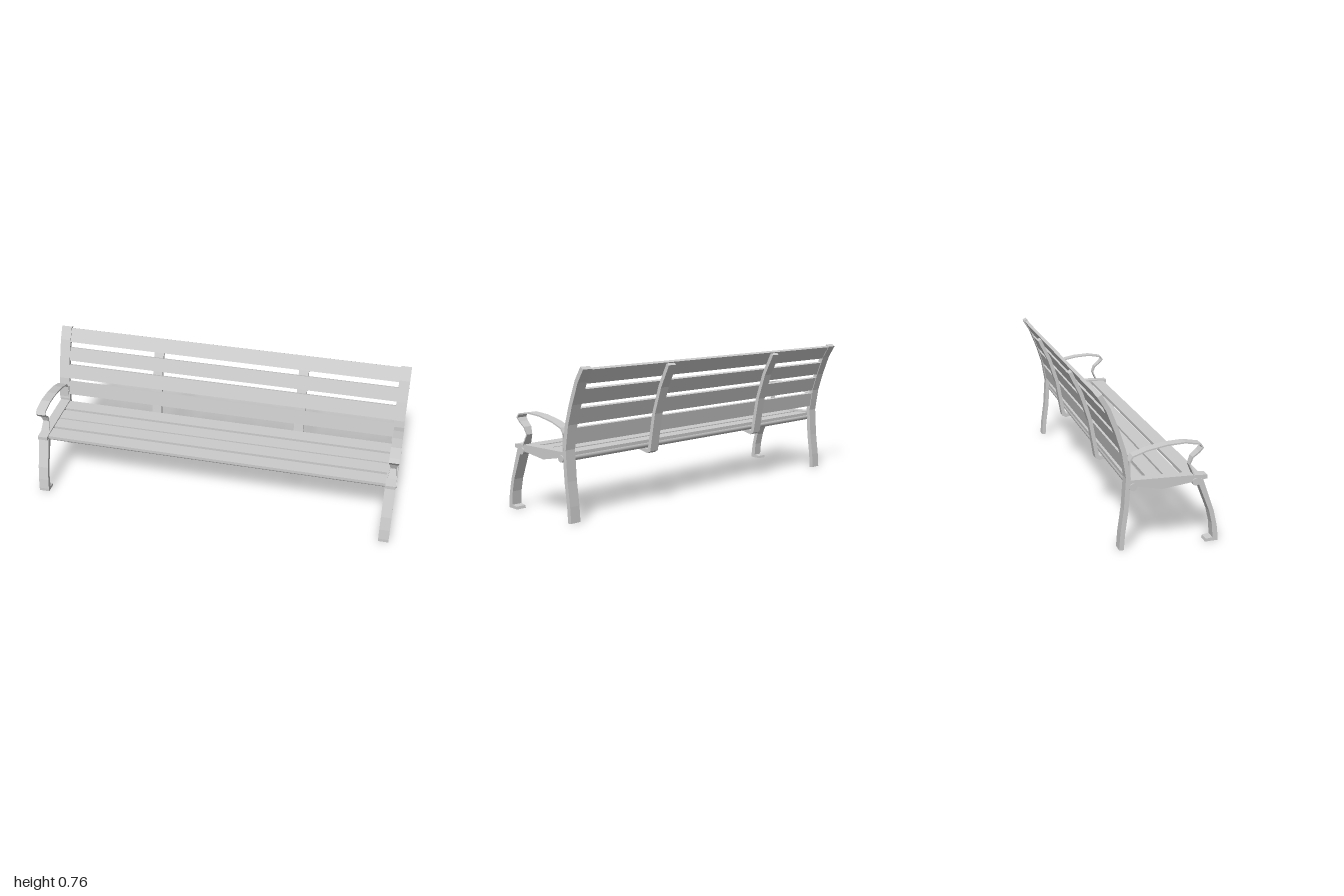
import * as THREE from 'three';

const material = new THREE.MeshStandardMaterial({ color: 0xcccccc });

// Extrude a [z, y] outline along x, centred on cx
function sidePanel(name, outline, cx, width) {
  const shape = new THREE.Shape(outline.map(([z, y]) => new THREE.Vector2(z, y)));
  const geometry = new THREE.ExtrudeGeometry(shape, { depth: width, bevelEnabled: false });
  geometry.rotateY(-Math.PI / 2).translate(cx + width / 2, 0, 0);
  const mesh = new THREE.Mesh(geometry, material);
  mesh.name = name;
  return mesh;
}

// Outline of a bar of even thickness following a [z, y] centreline
function barOutline(path, thickness) {
  const left = [], right = [];
  path.forEach(([z, y], i) => {
    const direction = (a, b) => new THREE.Vector2(b[0] - a[0], b[1] - a[1]).normalize();
    const before = direction(path[Math.max(i - 1, 0)], path[Math.max(i, 1)]);
    const after = i < path.length - 1 ? direction(path[i], path[i + 1]) : before;
    const mean = before.clone().add(after).normalize();
    const h = thickness / 2 / Math.max(0.6, mean.dot(before));
    left.push([z - mean.y * h, y + mean.x * h]);
    right.unshift([z + mean.y * h, y - mean.x * h]);
  });
  return [...left, ...right];
}

const postPath = [[-0.176, 0], [-0.17, 0.08], [-0.154, 0.2], [-0.144, 0.355],
  [-0.165, 0.48], [-0.197, 0.58], [-0.24, 0.69], [-0.281, 0.756]];
const legOutline = [[0.222, 0.322], [0.28, 0.155], [0.297, 0.08], [0.304, 0.02], [0.304, 0.003],
  [0.24, 0], [0.244, 0.014], [0.278, 0.019], [0.272, 0.09], [0.257, 0.155], [0.2, 0.3], [0.195, 0.322]];
const railOutline = [[0.243, 0.34], [0.243, 0.321], [0.2, 0.316], [0.17, 0.309], [0.02, 0.288],
  [-0.13, 0.316], [-0.138, 0.343], [0.18, 0.343]];
const armPath = [[0.18, 0.34], [0.172, 0.358], [0.156, 0.395], [0.17, 0.431], [0.2, 0.455],
  [0.217, 0.476], [0.205, 0.494], [0.13, 0.507], [0.04, 0.501], [-0.055, 0.482],
  [-0.122, 0.458], [-0.138, 0.435], [-0.138, 0.35]];
const supportPath = [[-0.294, 0.737], [-0.237, 0.62], [-0.192, 0.48], [-0.172, 0.37], [-0.157, 0.285],
  [-0.143, 0.277], [-0.03, 0.304], [0.15, 0.311]];

// Depth of the back posts at a given height
function postZ(y) {
  const i = Math.max(1, postPath.findIndex((p) => p[1] >= y));
  const [a, b] = [postPath[i - 1], postPath[i]];
  return THREE.MathUtils.mapLinear(y, a[1], b[1], a[0], b[0]);
}

export function createModel() {
  const bench = new THREE.Group();
  bench.name = 'bench';

  for (const side of [1, -1]) {
    const cx = side * 0.966;
    const frame = new THREE.Group();
    frame.name = side > 0 ? 'leftEndFrame' : 'rightEndFrame';
    frame.add(
      sidePanel('backPost', barOutline(postPath, 0.023), cx, 0.058),
      sidePanel('frontLeg', legOutline, cx, 0.056),
      sidePanel('seatRail', railOutline, cx, 0.054),
    );

    // Armrest strap, pinched at its front curl
    const arm = sidePanel('armrest', barOutline(armPath, 0.007), side * 0.97, 0.054);
    const pos = arm.geometry.attributes.position;
    for (let i = 0; i < pos.count; i++) {
      if (pos.getZ(i) < 0.1) continue;
      const pinch = 1 - 0.4 * Math.max(0, 1 - Math.abs(pos.getY(i) - 0.395) / 0.07);
      pos.setX(i, side * 0.97 + (pos.getX(i) - side * 0.97) * pinch);
    }
    arm.geometry.computeVertexNormals();
    frame.add(arm);
    bench.add(frame);

    // Intermediate strap behind the back and under the seat
    bench.add(sidePanel('slatSupport', barOutline(supportPath, 0.02), side * 0.415, 0.055));
  }

  // Back slats follow the curve of the posts
  for (const [y0, y1] of [[0.38, 0.46], [0.48, 0.557], [0.58, 0.652], [0.68, 0.75]]) {
    const path = [[postZ(y0), y0], [postZ(y1), y1]];
    bench.add(sidePanel('backSlat', barOutline(path, 0.016), 0, 1.88));
  }

  // Seat slats
  for (const z of [0.182, 0.086, -0.002, -0.098]) {
    const slat = new THREE.Mesh(new THREE.BoxGeometry(1.88, 0.016, 0.078), material);
    slat.name = 'seatSlat';
    slat.position.set(0, 0.328, z);
    bench.add(slat);
  }

  // Round cross tubes under the seat
  for (const z of [0.186, -0.122]) {
    const tube = new THREE.Mesh(new THREE.CylinderGeometry(0.018, 0.018, 2, 16), material);
    tube.name = 'crossTube';
    tube.rotation.z = Math.PI / 2;
    tube.position.set(0, 0.31, z);
    bench.add(tube);
  }
  return bench;
}
